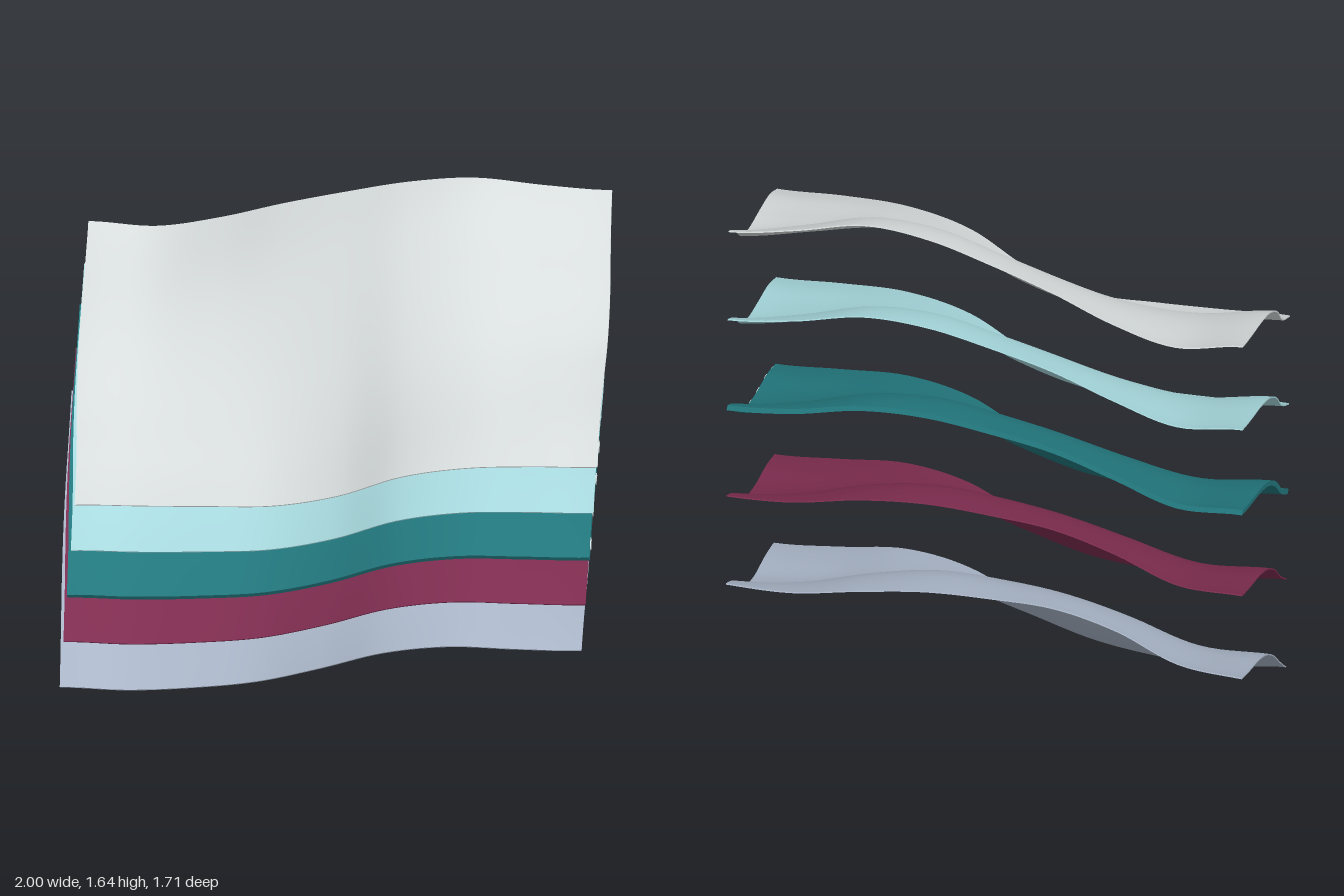
import * as THREE from 'three';

// Bottom and top sheet: corners, wave phases and the wave height sampled along each edge.
const BOTTOM = {
  corners: { bl: [-1.0, 0.53, -0.515], br: [0.55, 0.673, -0.855], fr: [0.794, 0.237, 0.06], fl: [-0.76, 0.013, 0.365] },
  phases: [0.9, 1.45],
  back: [0, 0.008, 0.072, 0.105, 0.1, 0.085, 0.05, 0.01, 0],
  front: [0, -0.043, -0.055, -0.046, 0.004, 0.066, 0.076, 0.035, 0],
  left: [0, 0.02, 0.045, 0.055, 0.045, 0.02, 0],
  right: [0, -0.012, -0.045, -0.066, -0.058, -0.022, 0],
};
const TOP = {
  corners: { bl: [-0.8, 1.394, -0.05], br: [0.757, 1.594, -0.365], fr: [0.999, 1.164, 0.55], fl: [-0.56, 0.932, 0.85] },
  phases: [0.15, 1.7],
  back: [0, -0.046, -0.02, 0.033, 0.075, 0.108, 0.108, 0.048, 0],
  front: [0, -0.03, -0.058, -0.08, -0.052, 0.022, 0.044, 0.028, 0],
  left: [0, 0.02, 0.045, 0.058, 0.045, 0.005, 0],
  right: [0, -0.02, -0.055, -0.057, -0.025, 0.003, 0],
};

const SHEETS = [
  { name: 'bottomSheet', colorName: 'blue grey', color: 0xaab6c8, thickness: 0.004 },
  { name: 'secondSheet', colorName: 'burgundy', color: 0x7f2d50, thickness: 0.004 },
  { name: 'middleSheet', colorName: 'teal', color: 0x22787e, thickness: 0.016, marks: 8 },
  { name: 'fourthSheet', colorName: 'pale aqua', color: 0xa8dadf, thickness: 0.004 },
  { name: 'topSheet', colorName: 'light grey', color: 0xd8dddd, thickness: 0.004 },
];

const mix = (a, b, k) => a.map((v, i) => v + (b[i] - v) * k);

// Smooth curve through evenly spaced edge heights
function edgeCurve(a, b, k) {
  const curve = new THREE.SplineCurve(mix(a, b, k).map((v, i) => new THREE.Vector2(i, v)));
  return (t) => curve.getPoint(t).y;
}

// Returns a function giving the point of a sheet at s (left to right), t (back to front)
function sheetSurface(k) {
  const corner = (id) => new THREE.Vector3(...mix(BOTTOM.corners[id], TOP.corners[id], k));
  const [bl, br, fr, fl] = ['bl', 'br', 'fr', 'fl'].map(corner);
  const [back, front, left, right] = ['back', 'front', 'left', 'right'].map((e) => edgeCurve(BOTTOM[e], TOP[e], k));
  const normal = fl.clone().sub(bl).cross(br.clone().sub(bl)).normalize();
  const [p1, p2] = mix(BOTTOM.phases, TOP.phases, k);

  // Two crossing waves
  const ripple = (s, t) => {
    const x = (s - 0.5) * 1.6;
    const z = (t - 0.5) * 1.04;
    return 0.06 * Math.sin(3.9 * x - 1.35 * z + p1) + 0.03 * Math.cos(6 * z + 2.2 * x + p2);
  };
  // Blend that makes the waves meet the four edge curves
  const wave = (s, t) => ripple(s, t)
    + (1 - t) * (back(s) - ripple(s, 0)) + t * (front(s) - ripple(s, 1))
    + (1 - s) * (left(t) - ripple(0, t)) + s * (right(t) - ripple(1, t))
    + (1 - t) * ((1 - s) * ripple(0, 0) + s * ripple(1, 0))
    + t * ((1 - s) * ripple(0, 1) + s * ripple(1, 1));

  return (s, t, offset) => bl.clone().lerp(br, s)
    .lerp(fl.clone().lerp(fr, s), t)
    .addScaledVector(normal, wave(s, t) + offset);
}

// Thin slab covering a range of s and t on a sheet surface
function slab(surface, [s0, s1], [t0, t1], thickness, cols, rows) {
  const geo = new THREE.BoxGeometry(1, 1, 1, cols, 1, rows);
  const pos = geo.attributes.position;
  for (let i = 0; i < pos.count; i++) {
    const s = THREE.MathUtils.lerp(s0, s1, pos.getX(i) + 0.5);
    const t = THREE.MathUtils.clamp(THREE.MathUtils.lerp(t0, t1, pos.getZ(i) + 0.5), 0, 1);
    const p = surface(s, t, pos.getY(i) * thickness);
    pos.setXYZ(i, p.x, p.y, p.z);
  }
  geo.computeVertexNormals();
  return geo;
}

export function createModel() {
  const model = new THREE.Group();
  model.name = 'stackedWavySheets';
  const markMaterial = new THREE.MeshStandardMaterial({ color: 0xe6f3f3 });
  markMaterial.name = 'mark white';

  SHEETS.forEach(({ name, colorName, color, thickness, marks = 0 }, i) => {
    const surface = sheetSurface(i / (SHEETS.length - 1));
    const material = new THREE.MeshStandardMaterial({ color });
    material.name = colorName;
    const sheet = new THREE.Mesh(slab(surface, [0, 1], [0, 1], thickness, 56, 40), material);
    sheet.name = name;
    model.add(sheet);

    // Row of small pale marks along the right rim
    for (let m = 0; m < marks; m++) {
      const t = 0.045 + (m / (marks - 1)) * 0.9;
      const mark = new THREE.Mesh(slab(surface, [0.998, 1.0015], [t - 0.02, t + 0.02], thickness * 0.8, 1, 4), markMaterial);
      mark.name = 'edgeMark';
      model.add(mark);
    }
  });
  return model;
}
